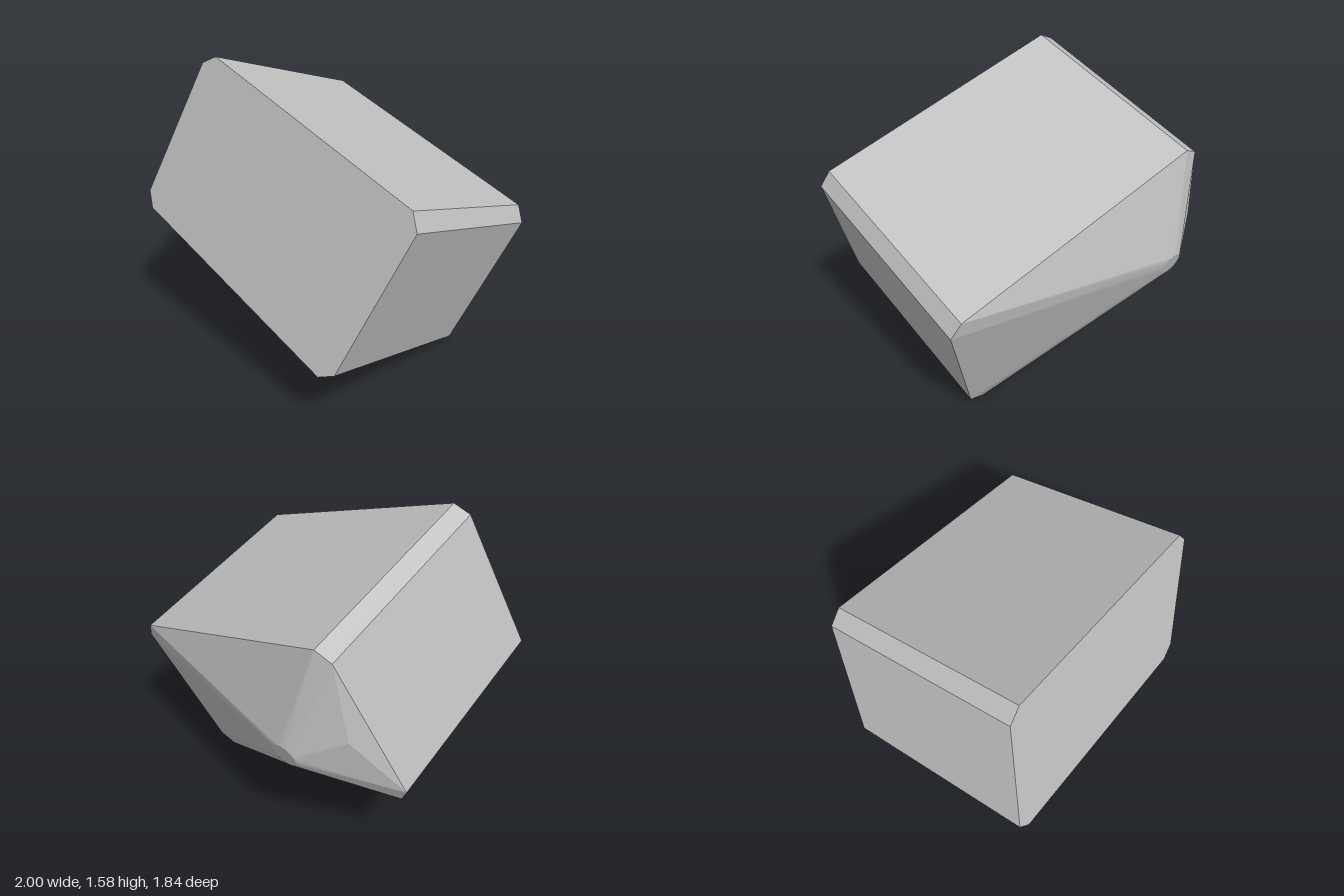
import * as THREE from 'three';
import { ConvexGeometry } from 'three/addons/geometries/ConvexGeometry.js';

const HALF_W = 0.755, HALF_H = 0.458, CHAMFER = 0.068;
const FRONT = -0.787, BACK = 0.29;

// Chamfered rectangle at depth z
function octagon(z) {
  const points = [];
  for (const sx of [-1, 1]) {
    for (const sy of [-1, 1]) {
      points.push(new THREE.Vector3(sx * HALF_W, sy * (HALF_H - CHAMFER), z));
      points.push(new THREE.Vector3(sx * (HALF_W - CHAMFER), sy * HALF_H, z));
    }
  }
  return points;
}

// Small round tip of the bulging back
function disc(x, z, radius, segments) {
  return Array.from({ length: segments }, (_, i) => {
    const a = (i / segments) * Math.PI * 2;
    return new THREE.Vector3(x + Math.cos(a) * radius, Math.sin(a) * radius, z);
  });
}

export function createModel() {
  const grey = new THREE.MeshStandardMaterial({ color: 0xc0c0c0 });
  grey.name = 'light grey';

  // Chamfered block whose back tapers to an off-centre disc and a short ridge
  const geometry = new ConvexGeometry([
    ...octagon(FRONT),
    ...octagon(BACK),
    ...disc(0.4, 0.53, 0.065, 32),
    new THREE.Vector3(0.69, 0, 0.378),
  ]);
  const body = new THREE.Mesh(geometry, grey);
  body.name = 'taperedBlock';

  // Tilt the block: width, height and depth axes
  const depth = new THREE.Vector3(0.611, -0.296, -0.731).normalize();
  const height = new THREE.Vector3(0.432, 0.902, 0).normalize();
  const width = new THREE.Vector3().crossVectors(height, depth).normalize();
  height.crossVectors(depth, width);
  const basis = new THREE.Matrix4().makeBasis(width, height, depth);
  body.quaternion.setFromRotationMatrix(basis);
  body.position.set(0.145, 0.721, -0.168);

  const model = new THREE.Group();
  model.name = 'block';
  model.add(body);
  return model;
}
